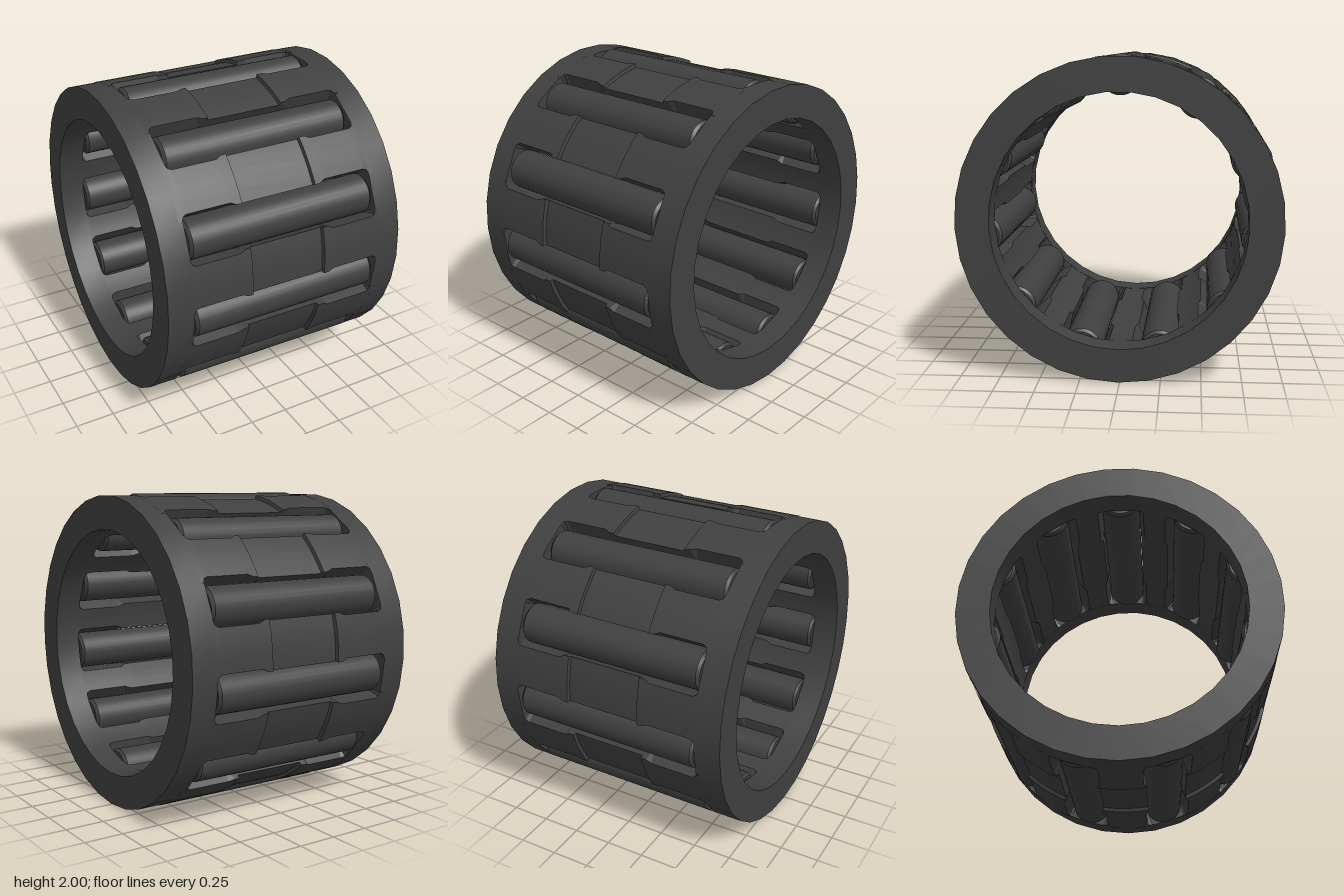
import * as THREE from 'three';
import { toCreasedNormals } from 'three/addons/utils/BufferGeometryUtils.js';

const COUNT = 11;          // rollers and webs
const STEP = (Math.PI * 2) / COUNT;
const R_OUT = 0.995, R_IN = 0.785, R_RECESS = 0.972, R_MID = 0.88;
const HALF = 0.803;        // half length of the cage
const SLOT = 0.635;        // half length of a slot

// Revolve a [radius, x] profile about the x axis
function revolveX(profile, segments, start = 0) {
  const geo = new THREE.LatheGeometry(profile.map(([r, x]) => new THREE.Vector2(r, x)), segments, start);
  geo.rotateZ(-Math.PI / 2);
  return toCreasedNormals(geo, 0.4);
}

// Bar between two slots: sections along x, each with slot half widths and outer radius
function webGeometry() {
  const half = [ // x, slot half width at the faces, at mid depth, outer radius
    [0.66, 0.11, 0.11, R_OUT],
    [SLOT, 0.115, 0.115, R_OUT],
    [0.628, 0.138, 0.124, R_OUT],
    [0.605, 0.15, 0.125, R_OUT],
    [0.32, 0.15, 0.125, R_OUT],
    [0.285, 0.132, 0.125, R_OUT],
    [0.25, 0.13, 0.127, R_OUT],
    [0.245, 0.13, 0.127, R_RECESS],
  ];
  const stations = [
    ...half.map(([x, ...rest]) => [-x, ...rest]),
    ...half.slice().reverse(),
  ];
  const pos = [], index = [];
  const arc = [-1, -0.5, 0, 0.5, 1];
  const n = arc.length * 2 + 2;
  for (const [x, w, wm, rOut] of stations) {
    const angle = (r, width) => STEP / 2 - Math.asin(width / r);
    const put = (r, a) => pos.push(x, r * Math.cos(a), r * Math.sin(a));
    arc.forEach((t) => put(rOut, t * angle(rOut, w)));
    put(R_MID, angle(R_MID, wm));
    arc.forEach((t) => put(R_IN, -t * angle(R_IN, w)));
    put(R_MID, -angle(R_MID, wm));
  }
  for (let i = 0; i < stations.length - 1; i++) {
    for (let j = 0; j < n; j++) {
      const a = i * n + j, b = i * n + ((j + 1) % n);
      index.push(a, b, b + n, a, b + n, a + n);
    }
  }
  const geo = new THREE.BufferGeometry();
  geo.setAttribute('position', new THREE.Float32BufferAttribute(pos, 3));
  geo.setIndex(index);
  return toCreasedNormals(geo, 0.3);
}

export function createModel() {
  const model = new THREE.Group();
  model.name = 'needleRollerBearing';
  const material = new THREE.MeshStandardMaterial({ color: 0x404040 });
  const add = (geo, name, turn = 0) => {
    const mesh = new THREE.Mesh(geo, material);
    mesh.name = name;
    mesh.rotation.x = turn;
    model.add(mesh);
    return mesh;
  };

  // End rings
  for (const [name, x0, x1] of [['leftEndRing', SLOT, HALF], ['rightEndRing', -HALF, -SLOT]]) {
    const profile = [[R_IN, x0], [R_OUT, x0], [R_OUT, x1], [R_IN, x1], [R_IN, x0]];
    add(revolveX(profile, 33, Math.PI / 2), name);
  }

  // Webs between the slots, and rollers in the slots
  const web = webGeometry();
  const roller = revolveX([
    [0, -0.622], [0.108, -0.622], [0.125, -0.605],
    [0.125, 0.605], [0.108, 0.622], [0, 0.622],
  ], 28);
  roller.translate(0, 0.878, 0);
  for (let i = 0; i < COUNT; i++) {
    add(web, 'web', (i + 0.5) * STEP);
    add(roller, 'roller', i * STEP);
  }

  // Slight turn of the whole bearing on its stand
  model.rotation.y = -0.011;
  model.position.y = 0.996;
  const root = new THREE.Group();
  root.name = 'bearing';
  root.add(model);
  return root;
}
